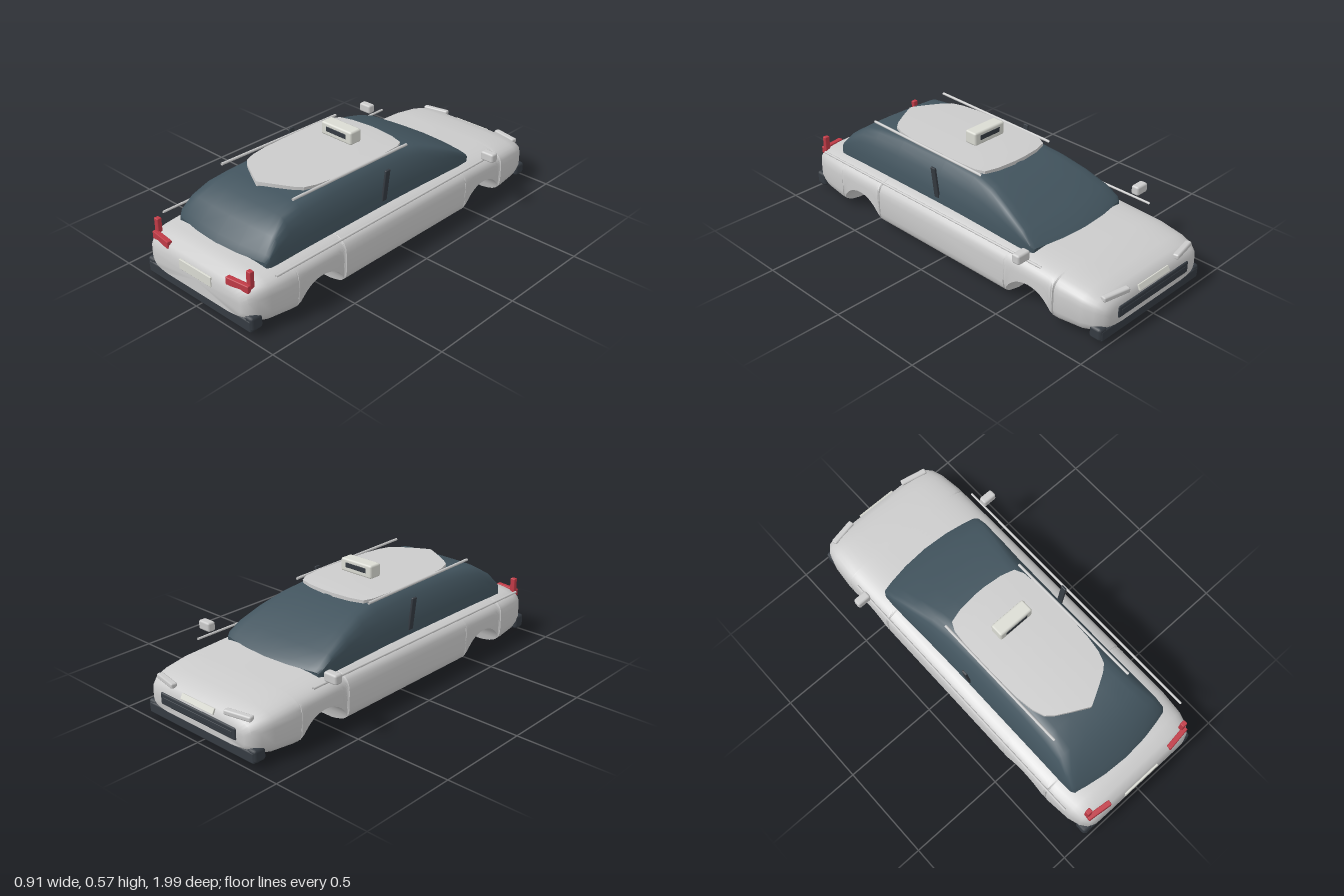
import * as THREE from 'three';
import { toCreasedNormals } from 'three/addons/utils/BufferGeometryUtils.js';
import { RoundedBoxGeometry } from 'three/addons/geometries/RoundedBoxGeometry.js';

const paint = (color) => new THREE.MeshStandardMaterial({ color });
const grey = paint(0xcccccc), glass = paint(0x42545e), dark = paint(0x353b42);
const red = paint(0xc03a46), pale = paint(0xdadbd3);

// Skin over closed rings (counter-clockwise seen from +z), ordered by rising z, with capped ends
function loft(rings, crease) {
  const n = rings[0].length, pos = [], idx = [];
  rings.forEach((r) => r.forEach((p) => pos.push(...p)));
  for (let i = 0; i < rings.length - 1; i++) {
    for (let j = 0; j < n; j++) {
      const a = i * n + j, b = i * n + (j + 1) % n;
      idx.push(a, b, b + n, a, b + n, a + n);
    }
  }
  [0, rings.length - 1].forEach((i) => {
    const c = pos.length / 3, r = rings[i];
    pos.push(0, r.reduce((s, p) => s + p[1], 0) / n, r.reduce((s, p) => s + p[2], 0) / n);
    for (let j = 0; j < n; j++) {
      const a = i * n + j, b = i * n + (j + 1) % n;
      idx.push(c, i ? a : b, i ? b : a);
    }
  });
  const g = new THREE.BufferGeometry();
  g.setAttribute('position', new THREE.Float32BufferAttribute(pos, 3));
  g.setIndex(idx);
  return toCreasedNormals(g, crease);
}

// Right half of a ring (bottom to top centre) mirrored into a full ring
const mirrorRing = (half) => [...half, ...half.slice(0, -1).reverse().map(([x, y, z]) => [-x, y, z])];

// Linear lookup in a table of rows sorted by their first value
function lookup(rows, z) {
  let i = 0;
  while (i < rows.length - 2 && z > rows[i + 1][0]) i++;
  const t = (z - rows[i][0]) / (rows[i + 1][0] - rows[i][0]);
  return rows[i].map((v, k) => v + (rows[i + 1][k] - v) * t);
}

// Lower body: superellipse sections, bottom raised over the wheel arches
function bodyGeometry() {
  const rows = [ // z, half width, bottom, top
    [-0.99, 0.3, 0.07, 0.17], [-0.975, 0.33, 0.05, 0.203], [-0.94, 0.355, 0.03, 0.225],
    [-0.88, 0.372, 0.014, 0.24], [-0.76, 0.383, 0.002, 0.256], [-0.5, 0.385, -0.006, 0.268],
    [0, 0.385, -0.006, 0.272], [0.6, 0.385, -0.006, 0.271], [0.76, 0.384, 0.002, 0.268],
    [0.88, 0.373, 0.014, 0.262], [0.94, 0.355, 0.028, 0.25], [0.975, 0.33, 0.05, 0.225],
    [0.99, 0.295, 0.07, 0.185]];
  const archZ = 0.583, archR = 0.153, p = 4.5, steps = 16;
  const zs = rows.map((r) => r[0]).filter((z) => Math.abs(Math.abs(z) - archZ) > archR);
  for (let i = 0; i <= 18; i++) {
    const z = archZ + archR * Math.cos(Math.PI * i / 18);
    zs.push(z, -z);
  }
  zs.sort((a, b) => a - b);
  return loft(zs.map((z) => {
    const [, W, y0, y1] = lookup(rows, z);
    const yc = (y0 + y1) / 2, H = (y1 - y0) / 2, d = Math.abs(z) - archZ;
    const arch = -0.01 + Math.sqrt(Math.max(0, archR * archR - d * d));
    const u = Math.max(-0.95, (arch - yc) / H);
    const start = Math.asin(Math.sign(u) * Math.abs(u) ** (p / 2));
    const half = [];
    for (let k = 0; k <= steps; k++) {
      const a = start + (Math.PI / 2 - start) * k / steps, s = Math.sin(a);
      half.push([k === steps ? 0 : W * Math.cos(a) ** (2 / p),
        yc + H * Math.sign(s) * Math.abs(s) ** (2 / p), z]);
    }
    return mirrorRing(half);
  }), 0.6);
}

// Glasshouse: sides lean in as they rise, ends bow outward in plan
function cabinGeometry() {
  const rows = [ // z, roof height, base half width
    [-0.585, 0.276, 0.3], [-0.56, 0.295, 0.312], [-0.48, 0.338, 0.315], [-0.35, 0.393, 0.313],
    [-0.22, 0.438, 0.31], [-0.1, 0.459, 0.308], [0.1, 0.466, 0.306], [0.4, 0.462, 0.306],
    [0.58, 0.45, 0.306], [0.69, 0.43, 0.306], [0.78, 0.375, 0.306], [0.85, 0.312, 0.302], [0.872, 0.28, 0.29]];
  const section = [[1, 0], [1, 0.3], [1, 0.6], [1, 0.8], [0.98, 0.91], [0.93, 0.97], [0.8, 0.99], [0.45, 1], [0, 1]];
  return loft(rows.map(([z, top, w]) => mirrorRing(section.map(([k, t]) => {
    const y = 0.25 + (top - 0.25) * t;
    const x = k * (w - 2 * Math.max(0, y - 0.26) ** 2);
    const e = (z - 0.14) / 0.73;
    return [x, y, z - 0.045 * Math.sign(e) * e ** 6 * (x / 0.31) ** 2];
  }))), 0.7);
}

// Roof panel: thin plate, pointed at the tail, slightly crowned
function roofGeometry() {
  const rows = [ // z, half width
    [-0.165, 0.03], [-0.155, 0.13], [-0.135, 0.2], [-0.09, 0.222], [0, 0.23], [0.2, 0.23],
    [0.35, 0.225], [0.44, 0.212], [0.5, 0.19], [0.53, 0.155], [0.57, 0.085], [0.612, 0.006]];
  return loft(rows.map(([z, w]) => {
    const drop = z < 0 ? 0.35 * z * z : 0;
    const y = (x) => 0.481 - 0.1 * x * x - drop;
    return mirrorRing([[0.5 * w, 0.456, z], [w, 0.462 - drop, z], [w, y(w), z],
      [0.7 * w, y(0.7 * w), z], [0.35 * w, y(0.35 * w), z], [0, y(0), z]]);
  }), 0.5);
}

export function createModel() {
  const car = new THREE.Group();
  car.name = 'car';
  const add = (name, geometry, material, x = 0, y = 0, z = 0) => {
    const m = new THREE.Mesh(geometry, material);
    m.name = name;
    m.position.set(x, y, z);
    car.add(m);
    return m;
  };
  const block = (name, material, w, h, d, x, y, z, r = 0.008) =>
    add(name, new RoundedBoxGeometry(w, h, d, 1, Math.min(r, w / 3, h / 3, d / 3)), material, x, y, z);
  const rod = (name, r, x, y0, z0, y1, z1) => {
    const path = new THREE.LineCurve3(new THREE.Vector3(x, y0, z0), new THREE.Vector3(x, y1, z1));
    const m = add(name, new THREE.TubeGeometry(path, 1, r, 8), grey);
    m.material = rodMaterial;
  };
  const rodMaterial = new THREE.MeshStandardMaterial({ color: 0xcccccc, side: THREE.DoubleSide });

  add('body', bodyGeometry(), grey);
  add('cabinGlass', cabinGeometry(), glass);
  add('roofPanel', roofGeometry(), grey);

  // Roof sign with a dark strip on both faces
  block('roofSign', pale, 0.198, 0.068, 0.072, 0, 0.534, 0.066, 0.01);
  for (const s of [1, -1]) block('signStrip', dark, 0.13, 0.025, 0.004, 0, 0.537, 0.066 + s * 0.036);

  // Bumpers, grille and plates
  block('rearBumper', dark, 0.7, 0.06, 0.05, 0, 0.053, 0.963);
  block('frontBumper', dark, 0.7, 0.055, 0.05, 0, 0.05, -0.963);
  block('grille', dark, 0.5, 0.06, 0.022, 0, 0.132, -0.986);
  block('grilleBar', dark, 0.46, 0.022, 0.01, 0, 0.132, -0.994, 0.003);
  block('rearPlate', pale, 0.216, 0.05, 0.01, 0, 0.175, 0.99, 0.002);
  block('frontPlate', pale, 0.216, 0.028, 0.012, 0, 0.187, -0.985, 0.002).rotation.x = 0.5;

  for (const s of [1, -1]) {
    // Bumper corners
    block('rearBumperCorner', dark, 0.05, 0.072, 0.066, s * 0.334, 0.065, 0.953, 0.014);
    block('frontBumperCorner', dark, 0.05, 0.064, 0.066, s * 0.334, 0.057, -0.953, 0.014);
    // Lights
    block('headlight', grey, 0.145, 0.026, 0.032, s * 0.24, 0.211, -0.962).rotation.y = -s * 0.2;
    block('tailLight', red, 0.13, 0.038, 0.026, s * 0.26, 0.224, 0.964, 0.004).rotation.y = s * 0.12;
    block('tailLightUpright', red, 0.028, 0.085, 0.024, s * 0.312, 0.264, 0.942, 0.004);
    // Mirrors, door pillars and rails
    block('mirror', grey, 0.076, 0.048, 0.044, s * 0.417, 0.304, -0.572, 0.01);
    block('doorPillar', dark, 0.012, 0.17, 0.03, s * 0.311, 0.367, 0.09, 0.003).rotation.z = -s * 0.12;
    rod('roofRail', 0.007, s * 0.236, 0.468, -0.14, 0.481, 0.615);
    rod('beltRail', 0.006, s * 0.383, 0.27, -0.66, 0.27, 0.86);
  }
  return car;
}
